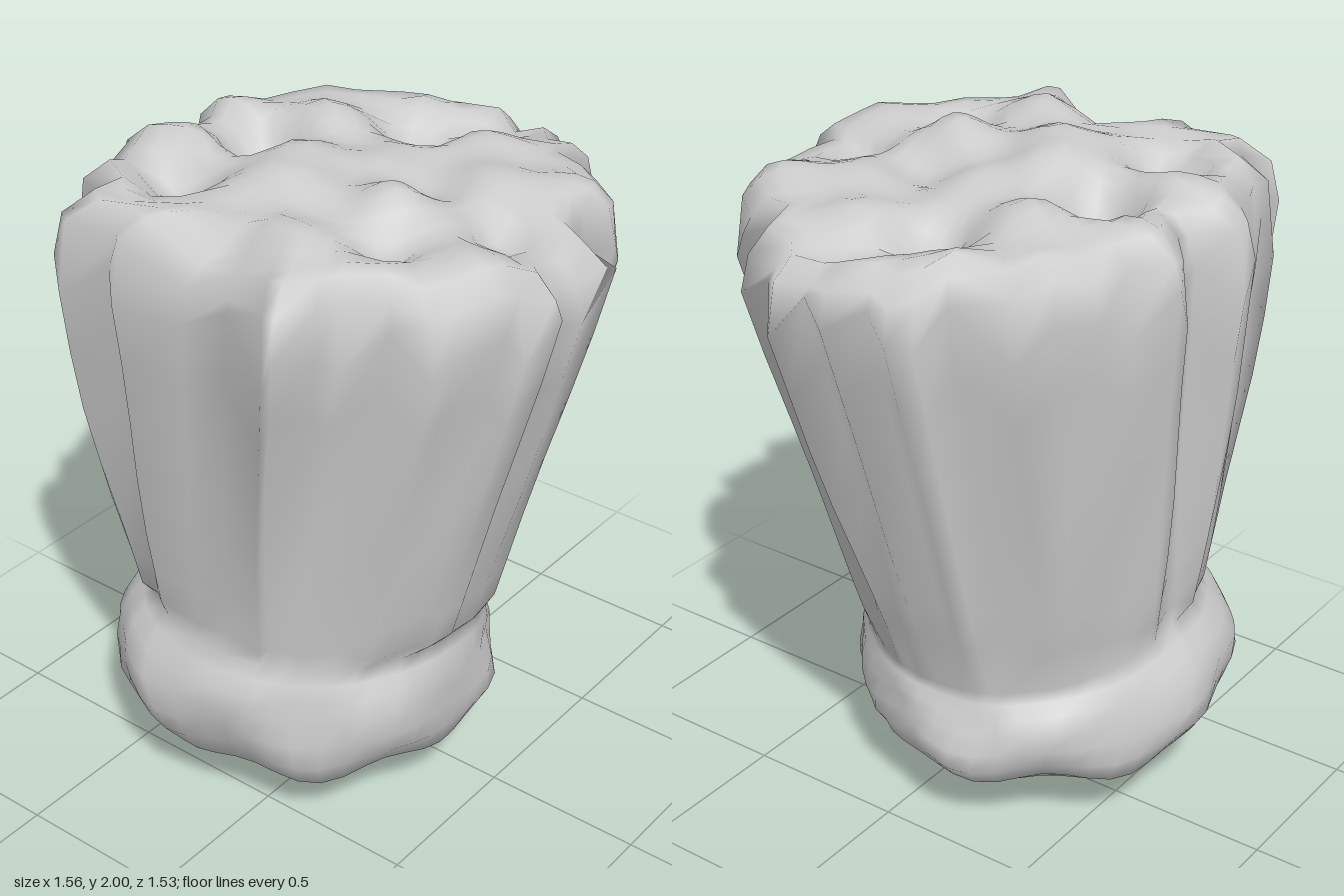
import * as THREE from 'three';

// Fluted outline of the crown, x/z pairs going round from the left side (+x) by the front
const RIM = [
  .78, -.04, .72, .06, .78, .14, .7, .2, .69, .31, .54, .33, .52, .45, .42, .57, .35, .6, .27, .565,
  .18, .6, .16, .72, 0, .72, -.1, .69, -.16, .76, -.24, .7, -.3, .68, -.43, .61, -.48, .58, -.51, .47,
  -.59, .36, -.65, .335, -.78, .3, -.78, .26, -.67, .05, -.68, -.1, -.7, -.33, -.67, -.36, -.69, -.54,
  -.66, -.58, -.56, -.53, -.48, -.67, -.43, -.65, -.34, -.69, -.22, -.73, -.19, -.77, -.14, -.77,
  -.04, -.67, 0, -.66, .12, -.75, .16, -.75, .25, -.66, .37, -.64, .47, -.56, .56, -.5, .59, -.31,
  .7, -.28, .74, -.22, .72, -.15,
];
const COUNT = RIM.length / 2;

// Hollows and humps of the crown: x, z, height, radius
const RELIEF = [
  [-.35, -.38, -.16, .1], [0, -.38, -.18, .11], [.38, -.12, -.16, .1], [-.32, .3, -.1, .09],
  [-.02, .45, -.12, .09], [.58, .02, -.09, .08], [-.6, -.05, -.08, .09], [.1, .12, -.05, .12],
  [.3, .42, .02, .12], [-.15, -.15, .06, .16], [-.5, -.5, .03, .13], [-.17, -.58, .04, .11],
  [.18, -.56, .02, .12], [.25, -.3, .04, .1], [-.5, .15, .03, .13], [-.15, .22, .05, .1],
  [.18, .62, -.06, .07], [0, -.68, -.06, .07], [.02, .64, -.05, .13], [-.68, .02, -.07, .14],
];

function topHeight(x, z) {
  const r2 = x * x + z * z;
  let y = 1.935 - .05 * x - .02 * z - .15 * r2 * r2;
  for (const [cx, cz, h, r] of RELIEF) y += h * Math.exp(-((x - cx) ** 2 + (z - cz) ** 2) / (r * r));
  return Math.min(y + .02 * Math.sin(17 * x + 5 * z) * Math.cos(15 * z - 4 * x), 2);
}

// Skin over rings listed bottom to top, closed at both ends by a point
function loft(name, bottom, rings, top) {
  const pos = [...bottom];
  const idx = [];
  rings.forEach((ring) => ring.forEach((p) => pos.push(...p)));
  pos.push(...top);
  const last = pos.length / 3 - 1;
  const at = (i, j) => 1 + i * COUNT + (j % COUNT);
  for (let j = 0; j < COUNT; j++) {
    idx.push(0, at(0, j), at(0, j + 1));
    for (let i = 0; i < rings.length - 1; i++) {
      const a = at(i, j), b = at(i, j + 1), c = at(i + 1, j), d = at(i + 1, j + 1);
      idx.push(a, c, b, b, c, d);
    }
    idx.push(at(rings.length - 1, j), last, at(rings.length - 1, j + 1));
  }
  const geo = new THREE.BufferGeometry();
  geo.setAttribute('position', new THREE.Float32BufferAttribute(pos, 3));
  geo.setIndex(idx);
  geo.computeVertexNormals();
  const mesh = new THREE.Mesh(geo, new THREE.MeshStandardMaterial({ color: 0xcccccc }));
  mesh.name = name;
  return mesh;
}

// Ring from a rule given the rim point, its angle (0 to 2 pi) and its index
const makeRing = (fn) => Array.from({ length: COUNT }, (_, j) => {
  const x = RIM[2 * j], z = RIM[2 * j + 1];
  const a = Math.atan2(z, x);
  return fn(x, z, a < -.1 ? a + 2 * Math.PI : a, j);
});
const evenAngle = (j) => j / COUNT * 2 * Math.PI;
const bump = (a, centre, width) => Math.exp(-(((a - centre) / width) ** 2));

// Lumpy rounded foot; its neck sits lower on the left side
function footRings() {
  const profile = [
    [.025, .14, -.05, -.1], [.07, .3, -.08, -.11], [.13, .43, -.1, -.12], [.2, .53, -.1, -.13],
    [.28, .57, -.105, -.13], [.36, .58, -.115, -.13], [.44, .572, -.12, -.13], [.5, .555, -.12, -.12],
    [.55, .53, -.115, -.11], [.59, .51, -.105, -.1],
  ];
  return profile.map(([y, r, cx, cz]) => makeRing((x, z, angle, j) => {
    // Corners drift from even spacing to the flutes they meet at the neck
    const a = evenAngle(j) + (angle - evenAngle(j)) * THREE.MathUtils.smoothstep(y, .3, .57);
    const belly = THREE.MathUtils.smoothstep(y, 0, .2) * (1 - THREE.MathUtils.smoothstep(y, .42, .59));
    const lump = .022 * Math.sin(5 * a + 9 * y) + .02 * Math.sin(9 * a - 14 * y + 1)
      + .07 * bump(a, 3.93, .4) - .05 * bump(a, .78, .4);
    const k = r * (1 + lump * belly);
    const tilt = Math.max(0, y - .2) * .32 * Math.max(0, Math.cos(a));
    return [cx + k * Math.cos(a), y - tilt + .015 * Math.sin(7 * a) * belly, cz + k * Math.sin(a)];
  }));
}

// Flaring bundle of fused stalks
function stalkRings() {
  return [.19, .28, .4, .55, .7, .85, 1].map((t) => makeRing((x, z, a, j) => {
    const peak = 1.72 + .07 * Math.sin(j * 2.4);
    const nx = -.105 + .5 * Math.cos(a), nz = -.1 + .5 * Math.sin(a);
    // The right front stalk flares late; flutes stay visible well down the others
    const flare = t ** (1 + .8 * bump(a, 2.85, .4));
    const flute = (Math.hypot(x, z) / .71 - 1) * .15 * Math.sin(Math.PI * t);
    const k = 1 + flute + .012 * Math.sin(j * 1.9 + 6 * t) * Math.sin(Math.PI * t);
    return [(nx + (x - nx) * flare) * k, .4 + (peak - .4) * t, (nz + (z - nz) * flare) * k];
  }));
}

// Rounded shoulder, then the bumpy crown rounding off towards the middle
function crownRings() {
  const shoulder = makeRing((x, z) => [x * .965, topHeight(x * .9, z * .9) - .055, z * .965]);
  const surface = [.89, .82, .75, .68, .61, .54, .47, .4, .32, .24, .16, .08].map((s) =>
    makeRing((x, z, angle, j) => {
      const round = Math.min(1, (1 - s) * 1.6);
      const a = angle + (evenAngle(j) - angle) * round;
      const r = Math.hypot(x, z);
      const radius = s * (r + (.7 - r) * round);
      const px = radius * Math.cos(a), pz = radius * Math.sin(a);
      return [px, topHeight(px, pz), pz];
    }));
  return [shoulder, ...surface];
}

export function createModel() {
  const group = new THREE.Group();
  group.name = 'stalkCluster';
  const rings = [...footRings(), ...stalkRings(), ...crownRings()];
  group.add(loft('fusedStalks', [-.05, 0, -.1], rings, [0, topHeight(0, 0), 0]));
  return group;
}
